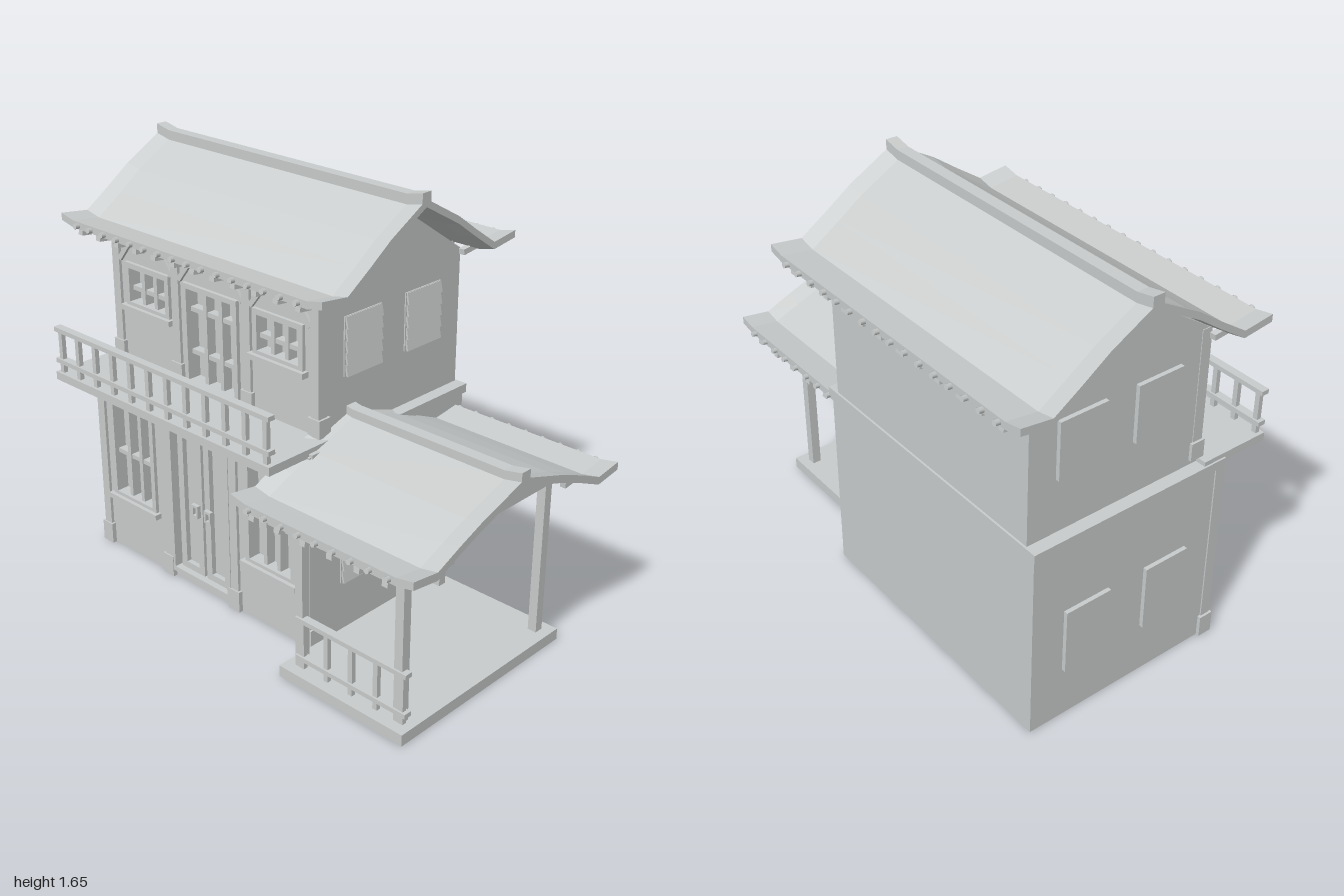
import * as THREE from 'three';

const CX = -0.315; // centre line of the house

export function createModel() {
  const model = new THREE.Group();
  const grey = new THREE.MeshStandardMaterial({ color: 0xc9cccc });
  grey.name = 'plain grey';

  const add = (name, geo, parent = model) => {
    const m = new THREE.Mesh(geo, grey);
    m.name = name;
    parent.add(m);
    return m;
  };
  const group = (name) => {
    const g = new THREE.Group();
    g.name = name;
    model.add(g);
    return g;
  };
  // Box given by its limits on each axis
  const box = (name, x0, x1, y0, y1, z0, z1, parent) => {
    const m = add(name, new THREE.BoxGeometry(x1 - x0, y1 - y0, z1 - z0), parent);
    m.position.set((x0 + x1) / 2, (y0 + y1) / 2, (z0 + z1) / 2);
    return m;
  };
  // Extrude a (z, y) outline along x
  const alongX = (pts, x0, x1, steps = 1) => {
    const shape = new THREE.Shape(pts.map(([z, y]) => new THREE.Vector2(-z, y)));
    const geo = new THREE.ExtrudeGeometry(shape, { depth: x1 - x0, steps, bevelEnabled: false });
    return geo.rotateY(Math.PI / 2).translate(x0, 0, 0);
  };
  // Front wall panel with rectangular openings [x0, x1, y0, y1]
  const wallPanel = (name, x0, x1, y0, y1, z0, z1, holes) => {
    const rect = (a, b, c, d, P) => new P([[a, c], [b, c], [b, d], [a, d]].map((p) => new THREE.Vector2(...p)));
    const s = rect(x0, x1, y0, y1, THREE.Shape);
    s.holes = holes.map((h) => rect(...h, THREE.Path));
    add(name, new THREE.ExtrudeGeometry(s, { depth: z1 - z0, bevelEnabled: false }).translate(0, 0, z0));
  };
  // Rectangular frame around an opening
  const frame = (name, x0, x1, y0, y1, t, z0, z1, parent) => {
    box(name, x0, x0 + t, y0, y1, z0, z1, parent);
    box(name, x1 - t, x1, y0, y1, z0, z1, parent);
    box(name, x0 + t, x1 - t, y1 - t, y1, z0, z1, parent);
    box(name, x0 + t, x1 - t, y0, y0 + t, z0, z1, parent);
  };
  // Window: outer frame, sill and crossing bars
  const windowUnit = (name, cx, w, y0, y1, wallZ, barYs) => {
    const g = group(name), h = w / 2;
    frame('windowFrame', cx - h, cx + h, y0, y1, 0.022, wallZ - 0.04, wallZ + 0.014, g);
    box('windowSill', cx - h - 0.014, cx + h + 0.014, y0 - 0.014, y0 + 0.008, wallZ - 0.02, wallZ + 0.03, g);
    for (const s of [-1, 1]) box('windowBar', cx + s * 0.035 - 0.009, cx + s * 0.035 + 0.009, y0 + 0.02, y1 - 0.02, wallZ - 0.04, wallZ, g);
    for (const y of barYs) box('windowCrossBar', cx - h + 0.02, cx + h - 0.02, y - 0.009, y + 0.009, wallZ - 0.04, wallZ - 0.005, g);
  };

  // Walls
  const lowL = -0.9, lowR = 0.27, upL = -0.862, upR = 0.232;
  const lowWin = [-0.7, 0.07], upWin = [-0.665, 0.035];
  box('groundFloor', lowL, lowR, 0, 0.79, -0.5, 0.285);
  wallPanel('groundFrontWall', lowL, lowR, 0, 0.79, 0.285, 0.33,
    [...lowWin.map((x) => [x - 0.115, x + 0.115, 0.25, 0.66]), [CX - 0.155, CX + 0.155, 0.045, 0.66]]);
  box('upperFloor', upL, upR, 0.79, 1.335, -0.5, 0.2);
  wallPanel('upperFrontWall', upL, upR, 0.8, 1.335, 0.2, 0.243,
    [...upWin.map((x) => [x - 0.11, x + 0.11, 1.06, 1.21]), [CX - 0.13, CX + 0.13, 0.83, 1.21]]);
  add('mainGable', alongX([[0.245, 1.335], [-0.13, 1.585], [-0.5, 1.335]], upL, upR));
  box('floorLedge', lowL - 0.012, lowR + 0.012, 0.765, 0.8, -0.508, 0.335);

  // Pillars with plinths, beams and corner braces on both floors
  const posts = (name, half, wallZ, base, plinth, top) => {
    const g = group(name);
    const xs = [-half, -0.19, 0.19, half].map((d) => CX + d);
    for (const x of xs) {
      box('pillar', x - 0.02, x + 0.02, base, top, wallZ - 0.03, wallZ + 0.012, g);
      box('pillarPlinth', x - 0.029, x + 0.029, base, plinth, wallZ - 0.04, wallZ + 0.018, g);
    }
    box('headBeam', xs[0], xs[3], top - 0.03, top, wallZ - 0.01, wallZ + 0.01, g);
    for (let i = 0; i < 3; i++) {
      for (const [x, s] of [[xs[i] + 0.02, 1], [xs[i + 1] - 0.02, -1]]) {
        const b = box('cornerBrace', -0.055, 0.055, -0.01, 0.01, -0.008, 0.008, g);
        b.position.set(x + s * 0.035, top - 0.065, wallZ + 0.004);
        b.rotation.z = s * 0.9;
      }
    }
  };
  posts('groundPillars', 0.57, 0.33, 0, 0.088, 0.79);
  posts('upperPillars', 0.53, 0.243, 0.82, 0.89, 1.335);

  // Windows
  for (const x of lowWin) windowUnit('groundWindow', x, 0.26, 0.24, 0.67, 0.33, [0.44]);
  for (const x of upWin) windowUnit('upperWindow', x, 0.25, 1.045, 1.225, 0.243, [1.12]);

  // Entrance with two panelled leaves and handles
  const door = group('entrance');
  frame('doorFrame', CX - 0.17, CX + 0.17, 0.03, 0.675, 0.02, 0.29, 0.345, door);
  for (const s of [-1, 1]) {
    const c = CX + s * 0.073;
    box('doorLeaf', c - 0.068, c + 0.068, 0.045, 0.655, 0.285, 0.298, door);
    frame('doorLeafFrame', c - 0.066, c + 0.066, 0.048, 0.652, 0.03, 0.298, 0.318, door);
    frame('doorHandle', CX + s * 0.036 - 0.018, CX + s * 0.036 + 0.018, 0.31, 0.362, 0.01, 0.318, 0.335, door);
  }

  // Balcony door with lattice
  const upDoor = group('balconyDoor');
  frame('balconyDoorFrame', CX - 0.145, CX + 0.145, 0.82, 1.225, 0.02, 0.2, 0.258, upDoor);
  for (const x of [-0.042, 0.042]) box('balconyDoorBar', CX + x - 0.009, CX + x + 0.009, 0.83, 1.21, 0.2, 0.24, upDoor);
  for (const y of [0.95, 1.12]) box('balconyDoorCrossBar', CX - 0.13, CX + 0.13, y - 0.009, y + 0.009, 0.2, 0.235, upDoor);

  // Side shutters, louvred on the left wall and plain on the right wall
  const shutter = (z0, z1, y0, y1, xLeft, xRight) => {
    const g = group('sideShutter');
    box('shutterPanel', xRight - 0.016, xRight + 0.01, y0, y1, z0, z1, g);
    box('shutterPanel', xLeft - 0.01, xLeft + 0.005, y0, y1, z0, z1, g);
    const n = 5, step = (y1 - y0) / n;
    for (let i = 0; i < n; i++) {
      const slat = box('shutterSlat', -0.004, 0.004, -step * 0.48, step * 0.48, -(z1 - z0) / 2 + 0.004, (z1 - z0) / 2 - 0.004, g);
      slat.position.set(xLeft + 0.01, y0 + step * (i + 0.5), (z0 + z1) / 2);
      slat.rotation.z = 0.2;
    }
  };
  for (const [z0, z1] of [[-0.01, 0.18], [-0.365, -0.172]]) shutter(z0, z1, 0.215, 0.48, lowR, lowL);
  for (const [z0, z1] of [[-0.065, 0.127], [-0.388, -0.193]]) shutter(z0, z1, 1.015, 1.24, upR, upL);

  // Railing of two rails and upright balusters
  const railing = (name, x0, x1, n, base, low, high, z) => {
    const g = group(name);
    for (const y of [low, high]) box('rail', x0, x1, y - 0.009, y + 0.009, z - 0.016, z + 0.016, g);
    for (let i = 0; i < n; i++) {
      const x = x0 + 0.025 + ((x1 - x0 - 0.05) * i) / (n - 1);
      box('baluster', x - 0.01, x + 0.01, base, high, z - 0.009, z + 0.009, g);
    }
  };
  box('balconyFloor', -0.905, 0.265, 0.785, 0.818, 0.24, 0.527);
  railing('balconyRailing', -0.905, 0.26, 12, 0.815, 0.865, 0.993, 0.507);

  // Side porch
  box('porchDeck', 0.305, 0.88, 0, 0.045, -0.345, 0.53);
  for (const x of [0.36, 0.82]) for (const z of [0.468, -0.287]) box('porchPost', x - 0.018, x + 0.018, 0.045, 0.675, z - 0.018, z + 0.018);
  railing('porchRailing', 0.35, 0.86, 5, 0.04, 0.088, 0.245, 0.478);
  add('porchGable', alongX([[0.47, 0.665], [0.47, 0.675], [0.087, 0.84], [-0.296, 0.675], [-0.296, 0.665]], 0.26, 0.85));

  // Curved gable roof with ends swept up; profile points are [distance from ridge, height]
  const roof = (name, x0, x1, zc, profile, thick, lift) => {
    const g = group(name);
    const top = [...profile].reverse().map(([d, y]) => [zc + d, y]);
    top.push(...profile.slice(1).map(([d, y]) => [zc - d, y]));
    const outline = [...top, ...[...top].reverse().map(([z, y]) => [z, y - thick])];
    const sweep = (geo) => {
      const p = geo.attributes.position, L = x1 - x0;
      const cuts = [x0, x0 + 0.07, x1 - 0.07, x1];
      for (let i = 0; i < p.count; i++) {
        const k = Math.round(((p.getX(i) - x0) / L) * 3);
        p.setX(i, cuts[k]);
        if (k === 0 || k === 3) p.setY(i, p.getY(i) + lift);
      }
      geo.computeVertexNormals();
      return geo;
    };
    add('roofShell', sweep(alongX(outline, x0, x1, 3)), g);
    const r = profile[0][1], w = 0.023;
    add('ridgeCap', sweep(alongX([[zc + w, r - 0.025], [zc + w, r + 0.025], [zc - w, r + 0.025], [zc - w, r - 0.025]], x0, x1, 3)), g);
  };
  roof('mainRoof', -1, 0.37, -0.133, [[0, 1.614], [0.18, 1.513], [0.28, 1.442], [0.39, 1.368], [0.512, 1.384]], 0.028, 0.015);
  roof('porchRoof', 0.19, 1, 0.087, [[0, 0.868], [0.22, 0.796], [0.33, 0.752], [0.435, 0.706], [0.55, 0.722]], 0.03, 0.014);

  // Round eave rods above square rafters, front and back
  const eaves = (name, zc, rodXs, rodD, rodY, rafXs, rafD, rafY) => {
    const g = group(name);
    for (const s of [-1, 1]) {
      for (const x of rodXs) {
        const rod = add('eaveRod', new THREE.CylinderGeometry(0.011, 0.011, 0.15, 6), g);
        rod.position.set(x, rodY, zc + s * (rodD - 0.075));
        rod.rotation.x = Math.PI / 2 - s * 0.11;
      }
      for (const x of rafXs) {
        const raf = add('rafter', new THREE.BoxGeometry(0.024, 0.022, 0.15), g);
        raf.position.set(x, rafY, zc + s * (rafD - 0.075));
        raf.rotation.x = -s * 0.11;
      }
    }
  };
  const spread = (a, b, n) => Array.from({ length: n }, (_, i) => a + ((b - a) * i) / (n - 1));
  eaves('mainEaves', -0.133, spread(-0.9, 0.26, 16), 0.53, 1.362, spread(-0.9, 0.25, 12), 0.503, 1.334);
  eaves('porchEaves', 0.087, spread(0.28, 0.9, 9), 0.568, 0.7, spread(0.285, 0.88, 6), 0.545, 0.668);

  return model;
}
